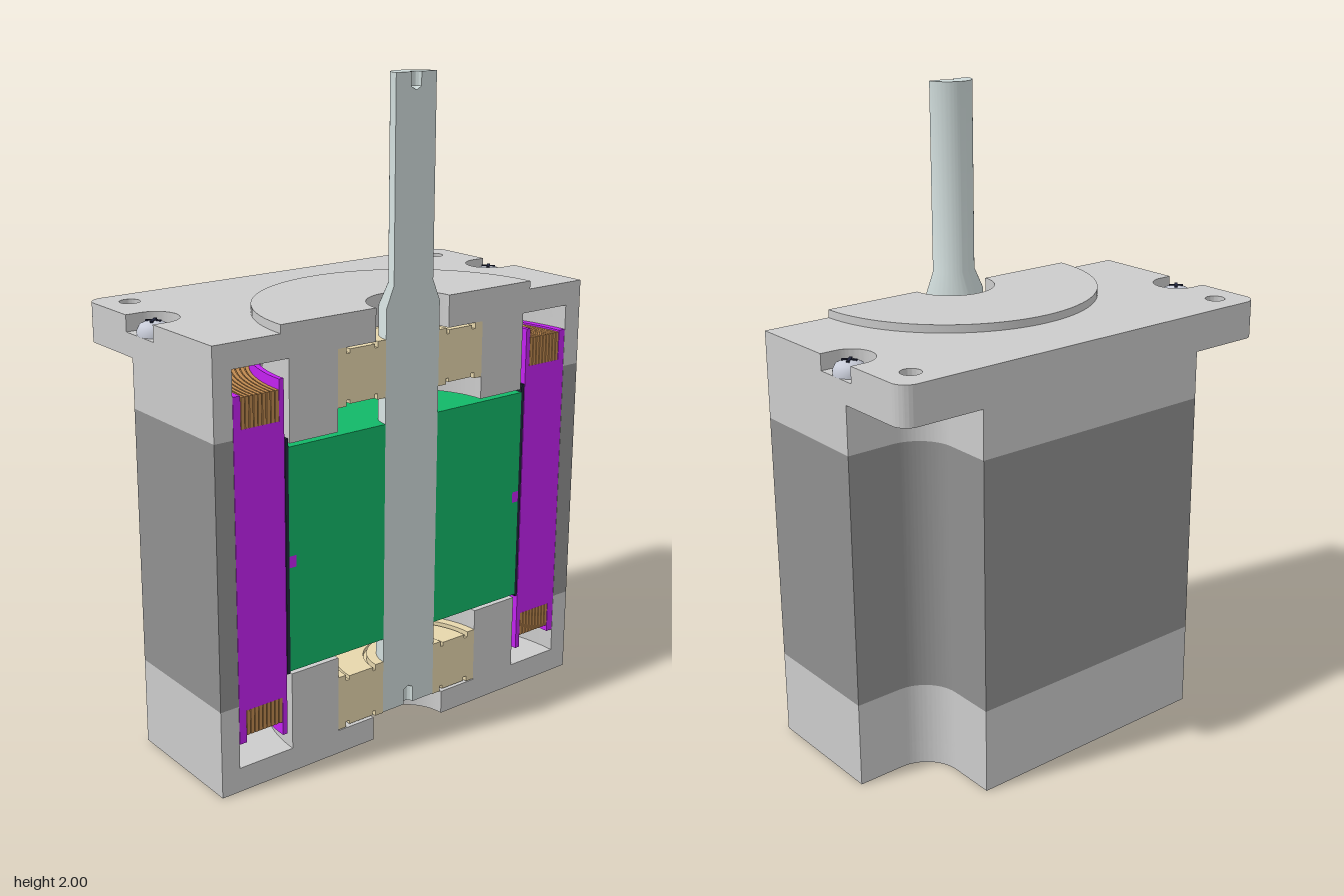
import * as THREE from 'three';
import { mergeGeometries, toCreasedNormals } from 'three/addons/utils/BufferGeometryUtils.js';

const HALF = 0.686, NOTCH = 0.418, FILLET = 0.12, CAVITY = 0.625, BORE = 0.137;
const SCREW_X = 0.64, SCREW_S = 0.373;
const mat = (color) => new THREE.MeshStandardMaterial({ color });
const GREY = mat(0xcccccc), STEEL = mat(0x909090), SHAFT = mat(0xcfdbda), TAN = mat(0xe6d6ac);
const GREEN = mat(0x12b868), MAGENTA = mat(0xc322f0), COPPER = mat(0xc08a50), DARK = mat(0x20243a);
const SCREW = mat(0xc8ccd8);

export function createModel() {
  const motor = new THREE.Group();
  motor.name = 'sectionedMotor';
  motor.position.z = 0.343; // shaft axis lies in the cut plane

  const add = (name, geometry, material) => {
    const mesh = new THREE.Mesh(geometry, material);
    mesh.name = name;
    motor.add(mesh);
    return mesh;
  };

  // Half-turned solid from a counterclockwise (radius, y) profile, closed at the cut plane
  const halfTurn = (name, profile, material) => {
    const pts = profile.map(([r, y]) => new THREE.Vector2(r, y));
    const lathe = new THREE.LatheGeometry([...pts, pts[0].clone()], 48, Math.PI / 2, Math.PI);
    const faces = [1, -1].map((s) =>
      new THREE.ShapeGeometry(new THREE.Shape(pts.map((p) => new THREE.Vector2(s * p.x, p.y)))).toNonIndexed());
    return add(name, mergeGeometries([toCreasedNormals(lathe, 0.5), ...faces]), material);
  };
  const halfRing = (name, r0, r1, y0, y1, material) =>
    halfTurn(name, [[r0, y0], [r1, y0], [r1, y1], [r0, y1]], material);

  // Housing outline; second coordinate runs from the cut plane to the back
  const outline = (inner, { notched = true, pockets = false } = {}) => {
    const s = new THREE.Shape(), c = NOTCH + FILLET, r = 0.05, q = Math.PI / 2;
    s.moveTo(inner, 0);
    s.lineTo(HALF, 0);
    if (pockets) {
      s.lineTo(HALF, SCREW_S - 0.075);
      s.absarc(SCREW_X, SCREW_S, 0.075, -q, q, true);
      s.lineTo(HALF, SCREW_S + 0.075);
    }
    if (notched) {
      s.lineTo(HALF, NOTCH);
      s.absarc(c, c, FILLET, -q, -2 * q, true);
      s.lineTo(NOTCH, HALF);
      s.lineTo(-NOTCH, HALF);
      s.absarc(-c, c, FILLET, 0, -q, true);
      s.lineTo(-HALF, NOTCH);
    } else {
      s.absarc(HALF - r, HALF - r, r, 0, q, false);
      s.absarc(-HALF + r, HALF - r, r, q, 2 * q, false);
    }
    if (pockets) {
      s.lineTo(-HALF, SCREW_S + 0.075);
      s.absarc(-SCREW_X, SCREW_S, 0.075, q, -q, true);
      s.lineTo(-HALF, SCREW_S - 0.075);
    }
    s.lineTo(-HALF, 0);
    s.lineTo(-inner, 0);
    s.absarc(0, 0, inner, Math.PI, 0, true);
    return s;
  };
  const drill = (shape, x, s, r) => {
    for (const side of [1, -1]) {
      shape.holes.push(new THREE.Path().absarc(side * x, s, r, 0, Math.PI * 2, true));
    }
    return shape;
  };
  const slab = (name, shape, y0, y1, material) => {
    const g = new THREE.ExtrudeGeometry(shape, { depth: y1 - y0, bevelEnabled: false, curveSegments: 24 });
    g.rotateX(-Math.PI / 2).translate(0, y0, 0);
    return add(name, toCreasedNormals(g, 0.5), material);
  };

  // Bottom end cap with bearing hub
  slab('bottomCapFloor', drill(outline(BORE), SCREW_X, SCREW_S, 0.025), 0, 0.075, GREY);
  slab('bottomCapWall', outline(CAVITY), 0.075, 0.27, GREY);
  halfRing('bottomHub', 0.272, 0.44, 0.075, 0.315, GREY);

  // Laminated middle
  slab('laminationStack', outline(CAVITY), 0.27, 1.06, STEEL);

  // Top end cap, square mounting flange and pilot disc
  const flange = (inner, pockets) =>
    drill(outline(inner, { notched: false, pockets }), 0.59, 0.593, 0.031);
  slab('topCapWall', outline(CAVITY), 1.06, 1.21, GREY);
  slab('flangeLower', flange(CAVITY, false), 1.21, 1.257, GREY);
  slab('flangeMiddle', flange(BORE, false), 1.257, 1.28, GREY);
  slab('flangeUpper', flange(BORE, true), 1.28, 1.33, GREY);
  halfRing('pilotDisc', BORE, 0.466, 1.33, 1.355, GREY);
  halfRing('topHub', 0.272, 0.44, 1.015, 1.257, GREY);

  // Bearings with shield grooves on both faces
  for (const [name, y0, y1] of [['bottomBearing', 0.078, 0.25], ['topBearing', 1.085, 1.257]]) {
    const d = 0.018;
    halfTurn(name, [
      [0.1, y0], [0.13, y0], [0.13, y0 + d], [0.14, y0 + d], [0.14, y0 + 0.006],
      [0.23, y0 + 0.006], [0.23, y0 + d], [0.243, y0 + d], [0.243, y0], [0.272, y0],
      [0.272, y1], [0.243, y1], [0.243, y1 - d], [0.23, y1 - d], [0.23, y1 - 0.006],
      [0.14, y1 - 0.006], [0.14, y1 - d], [0.13, y1 - d], [0.13, y1], [0.1, y1],
    ], TAN);
  }

  // Shaft with centre-drilled ends
  halfTurn('shaft', [
    [0, 0.14], [0.018, 0.13], [0.018, 0.08], [0.1, 0.08], [0.1, 1.345], [0.073, 1.41],
    [0.073, 2], [0.018, 2], [0.018, 1.96], [0, 1.95],
  ], SHAFT);

  // Rotor with magnet band and air-gap sleeve
  halfTurn('rotor', [
    [0.1, 0.325], [0.445, 0.325], [0.445, 0.645], [0.42, 0.645], [0.42, 0.68],
    [0.445, 0.68], [0.445, 1.005], [0.1, 1.005],
  ], GREEN);
  halfRing('magnetBand', 0.42, 0.445, 0.645, 0.68, MAGENTA);
  halfRing('rotorSleeve', 0.445, 0.456, 0.318, 1.03, DARK);

  // Stator bobbin with winding troughs at both ends
  halfTurn('statorBobbin', [
    [0.458, 0.13], [0.474, 0.13], [0.474, 0.25], [0.6, 0.25], [0.6, 0.15], [0.624, 0.15],
    [0.624, 1.18], [0.6, 1.18], [0.6, 1.085], [0.474, 1.085], [0.474, 1.205], [0.458, 1.205],
  ], MAGENTA);

  // Copper windings, one thin ring per layer
  const layers = 9, pitch = 0.126 / layers;
  for (const [name, y0, y1] of [['bottomWinding', 0.172, 0.25], ['topWinding', 1.085, 1.175]]) {
    for (let i = 0; i < layers; i++) {
      const r = 0.474 + i * pitch;
      halfRing(name, r + 0.001, r + pitch - 0.002, y0, y1, COPPER);
    }
  }

  // Domed cross-head screws
  const dome = [[0.048, 1.28], [0.048, 1.295], [0.04, 1.311], [0.022, 1.32], [0, 1.323]]
    .map(([r, y]) => new THREE.Vector2(r, y));
  for (const side of [1, -1]) {
    const head = add('screwHead', new THREE.LatheGeometry(dome, 32), SCREW);
    head.position.set(side * SCREW_X, 0, -SCREW_S);
    for (const turn of [1, -1]) {
      const slot = add('screwSlot', new THREE.BoxGeometry(0.045, 0.008, 0.009), DARK);
      slot.position.set(side * SCREW_X, 1.32, -SCREW_S);
      slot.rotation.y = turn * Math.PI / 4;
    }
  }

  const model = new THREE.Group();
  model.name = 'model';
  model.add(motor);
  return model;
}
